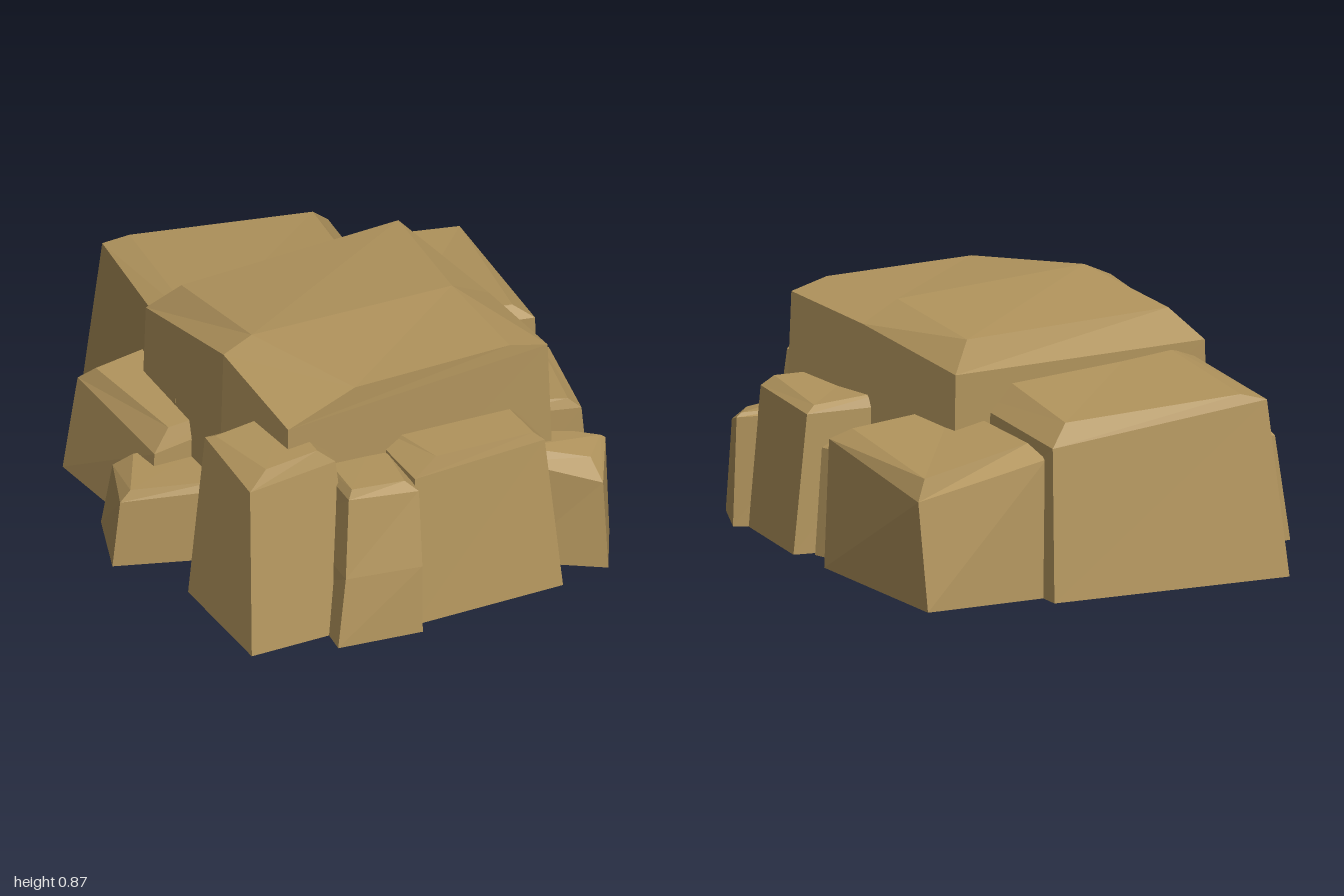
import * as THREE from 'three';

// Rocks are open underneath, so both sides show
const sandstone = new THREE.MeshStandardMaterial({ color: 0xb0935c, side: THREE.DoubleSide });
sandstone.name = 'sandstone';

// Loft a boulder through rings of corners, ordered back left, back right, (mid right), front right, front left, (mid left)
function rock(name, base, ...upper) {
  const rings = [base.map(([x, z]) => [x, 0, z]), ...upper];
  const n = base.length;
  const pos = [];
  const tri = (a, b, c) => pos.push(...a, ...b, ...c);
  for (let r = 0; r < rings.length - 1; r++) {
    const lo = rings[r], up = rings[r + 1];
    for (let i = 0; i < n; i++) {
      const j = (i + 1) % n;
      tri(lo[j], lo[i], up[i]);
      tri(lo[j], up[i], up[j]);
    }
  }
  // cap as a strip from back to front
  const top = rings[rings.length - 1];
  for (let k = 0; k < n / 2 - 1; k++) {
    const a = top[(n - k) % n], b = top[1 + k], c = top[n - k - 1], d = top[2 + k];
    tri(a, c, b);
    tri(b, c, d);
  }
  const g = new THREE.BufferGeometry();
  g.setAttribute('position', new THREE.Float32BufferAttribute(pos, 3));
  g.computeVertexNormals();
  const mesh = new THREE.Mesh(g, sandstone);
  mesh.name = name;
  return mesh;
}

export function createModel() {
  const group = new THREE.Group();
  group.name = 'rockCluster';
  group.add(
    // tall block in the middle
    rock('centreRock',
      [[-0.555, -0.345], [0.525, -0.35], [0.525, 0.24], [0.525, 0.705], [-0.51, 0.69], [-0.555, 0.24]],
      [[-0.535, 0.7, -0.335], [0.505, 0.71, -0.335], [0.505, 0.78, 0.24], [0.505, 0.81, 0.68], [-0.5, 0.74, 0.67], [-0.53, 0.82, 0.24]],
      [[-0.44, 0.81, -0.25], [0.42, 0.815, -0.28], [0.36, 0.85, 0.24], [0.36, 0.845, 0.675], [-0.24, 0.84, 0.67], [-0.42, 0.87, 0.24]]),
    // large blocks behind
    rock('backRock',
      [[-0.44, -1], [0.46, -0.88], [0.34, 0.05], [-0.58, -0.1]],
      [[-0.41, 0.615, -0.905], [0.42, 0.53, -0.81], [0.32, 0.58, 0], [-0.525, 0.66, -0.1]],
      [[-0.32, 0.64, -0.875], [0.34, 0.605, -0.77], [0.24, 0.67, -0.15], [-0.42, 0.695, -0.15]]),
    rock('backRightRock',
      [[0.4, -0.8], [0.9, -0.75], [0.82, 0.01], [0.3, -0.07]],
      [[0.41, 0.48, -0.755], [0.9, 0.38, -0.69], [0.81, 0.46, -0.005], [0.31, 0.48, -0.08]],
      [[0.43, 0.525, -0.67], [0.86, 0.455, -0.67], [0.75, 0.5, -0.06], [0.36, 0.54, -0.11]]),
    // left side
    rock('backLeftRock',
      [[-0.75, -0.545], [-0.35, -0.545], [-0.35, 0.05], [-0.7, 0.03]],
      [[-0.71, 0.37, -0.51], [-0.36, 0.4, -0.51], [-0.36, 0.4, 0.04], [-0.685, 0.34, 0.02]],
      [[-0.67, 0.43, -0.45], [-0.38, 0.47, -0.45], [-0.38, 0.45, 0.02], [-0.62, 0.42, 0]]),
    rock('lowLeftRock',
      [[-0.8, -0.16], [-0.42, -0.04], [-0.53, 0.25], [-0.9, 0.12]],
      [[-0.77, 0.24, -0.13], [-0.43, 0.26, -0.03], [-0.53, 0.27, 0.24], [-0.87, 0.25, 0.12]],
      [[-0.71, 0.29, -0.09], [-0.45, 0.3, -0.01], [-0.54, 0.3, 0.22], [-0.83, 0.29, 0.12]]),
    rock('frontLeftRock',
      [[-0.745, 0.39], [-0.3, 0.39], [-0.33, 0.87], [-0.745, 0.87]],
      [[-0.695, 0.63, 0.42], [-0.34, 0.62, 0.42], [-0.36, 0.62, 0.755], [-0.695, 0.59, 0.76]],
      [[-0.67, 0.645, 0.45], [-0.41, 0.675, 0.45], [-0.42, 0.67, 0.735], [-0.62, 0.65, 0.735]]),
    // front
    rock('frontMiddleRock',
      [[-0.4, 0.5], [-0.06, 0.52], [-0.145, 0.997], [-0.455, 0.96]],
      [[-0.38, 0.25, 0.51], [-0.07, 0.25, 0.53], [-0.135, 0.25, 0.975], [-0.41, 0.25, 0.93]],
      [[-0.35, 0.53, 0.52], [-0.08, 0.53, 0.54], [-0.115, 0.515, 0.91], [-0.37, 0.53, 0.875]],
      [[-0.33, 0.56, 0.55], [-0.1, 0.55, 0.56], [-0.15, 0.545, 0.87], [-0.35, 0.56, 0.86]]),
    rock('frontRock',
      [[-0.15, 0.45], [0.43, 0.45], [0.428, 0.945], [-0.15, 0.945]],
      [[-0.14, 0.58, 0.47], [0.4, 0.555, 0.47], [0.398, 0.555, 0.865], [-0.11, 0.54, 0.87]],
      [[-0.11, 0.605, 0.5], [0.35, 0.595, 0.5], [0.36, 0.59, 0.855], [-0.02, 0.6, 0.855]]),
    // right side
    rock('frontRightRock',
      [[0.48, 0.5], [0.735, 0.7], [0.62, 0.915], [0.33, 0.72]],
      [[0.47, 0.41, 0.52], [0.72, 0.385, 0.7], [0.615, 0.33, 0.885], [0.35, 0.4, 0.72]],
      [[0.46, 0.43, 0.55], [0.7, 0.4, 0.7], [0.61, 0.39, 0.8], [0.38, 0.44, 0.7]]),
    rock('rightRock',
      [[0.36, 0.11], [0.8, 0.23], [0.69, 0.675], [0.27, 0.56]],
      [[0.37, 0.5, 0.14], [0.74, 0.49, 0.235], [0.65, 0.5, 0.655], [0.28, 0.5, 0.55]],
      [[0.39, 0.55, 0.17], [0.7, 0.515, 0.25], [0.61, 0.535, 0.63], [0.31, 0.55, 0.53]]),
    rock('lowRightRock',
      [[0.35, -0.1], [0.7, -0.06], [0.74, 0.185], [0.37, 0.25]],
      [[0.36, 0.37, -0.09], [0.68, 0.38, -0.05], [0.715, 0.38, 0.18], [0.38, 0.37, 0.24]],
      [[0.38, 0.42, -0.07], [0.65, 0.41, -0.03], [0.67, 0.41, 0.16], [0.4, 0.42, 0.21]]),
  );
  return group;
}
